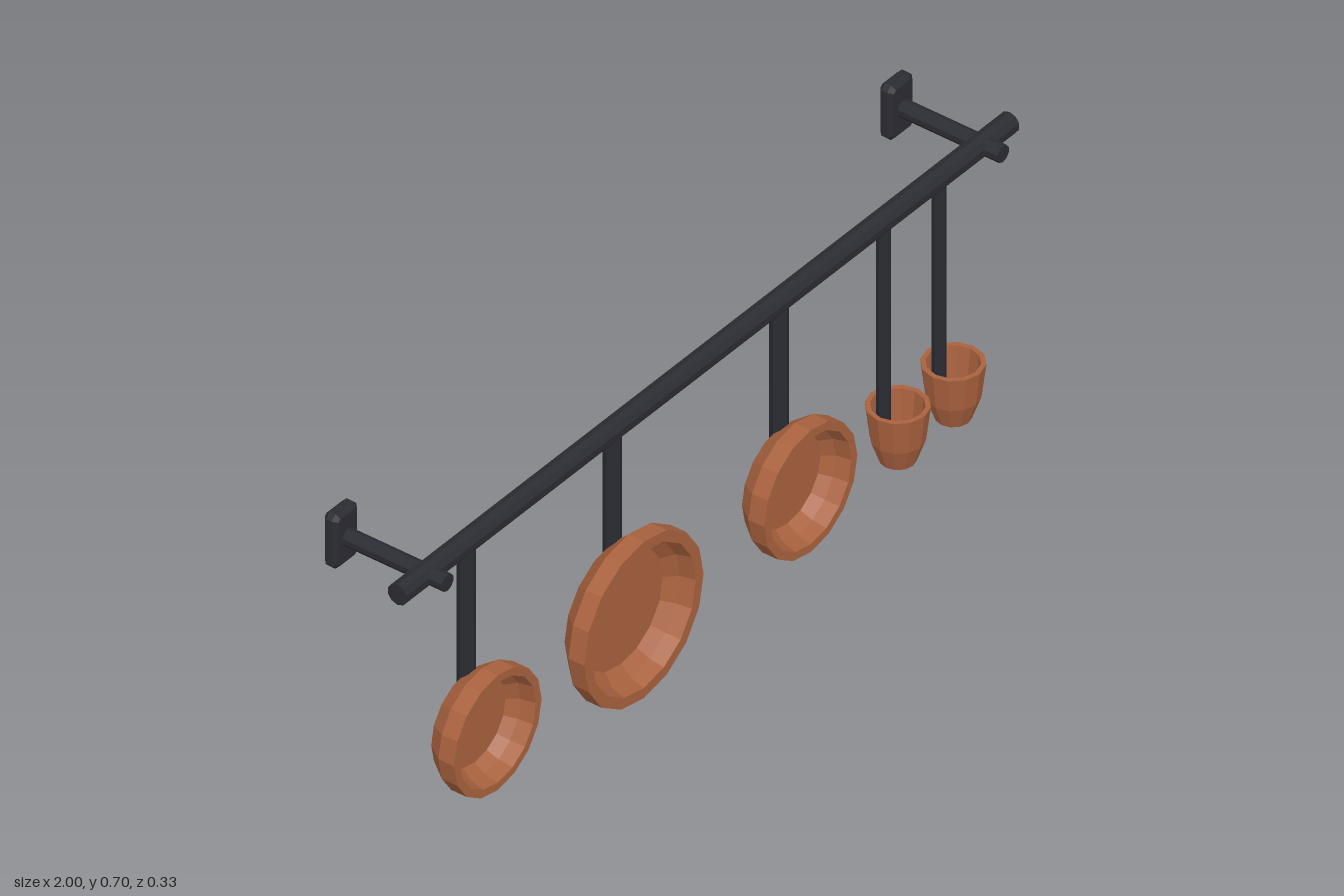
import * as THREE from 'three';

const RAIL_Y = 0.637, RAIL_Z = 0.065;

// Faceted normals for the low-poly look
function flat(geometry) {
  const g = geometry.index ? geometry.toNonIndexed() : geometry;
  g.computeVertexNormals();
  return g;
}

function lathe(points, sides) {
  return new THREE.LatheGeometry(points.map(([r, y]) => new THREE.Vector2(r, y)), sides);
}

export function createModel() {
  const model = new THREE.Group();
  const iron = new THREE.MeshStandardMaterial({ color: 0x2b2b33 });
  iron.name = 'black iron';
  const copper = new THREE.MeshStandardMaterial({ color: 0xa9623f });
  copper.name = 'copper';

  function add(parent, name, geometry, material, x = 0, y = 0, z = 0) {
    const mesh = new THREE.Mesh(flat(geometry), material);
    mesh.name = name;
    mesh.position.set(x, y, z);
    parent.add(mesh);
  }

  // Horizontal rail
  const rail = new THREE.CylinderGeometry(0.025, 0.025, 2, 10).rotateY(Math.PI / 2).rotateZ(Math.PI / 2);
  add(model, 'rail', rail, iron, 0, RAIL_Y, RAIL_Z);

  // Wall brackets: arm and chamfered plate
  const w = 0.03, h = 0.058, c = 0.006;
  const outline = new THREE.Shape([
    [-w + c, -h], [w - c, -h], [w, -h + c], [w, h - c],
    [w - c, h], [-w + c, h], [-w, h - c], [-w, -h + c],
  ].map(([x, y]) => new THREE.Vector2(x, y)));
  for (const side of [-1, 1]) {
    const bracket = new THREE.Group();
    bracket.name = side > 0 ? 'leftBracket' : 'rightBracket';
    bracket.position.set(side * 0.907, RAIL_Y, 0);
    const arm = new THREE.CylinderGeometry(0.02, 0.02, 0.26, 10).rotateX(Math.PI / 2);
    add(bracket, 'bracketArm', arm, iron, 0, 0, -0.01);
    const plate = new THREE.ExtrudeGeometry(outline, {
      depth: 0.015, bevelEnabled: true, bevelSize: 0.01, bevelThickness: 0.01, bevelSegments: 1,
    });
    add(bracket, 'wallPlate', plate, iron, 0, 0, -0.157);
    model.add(bracket);
  }

  // Hanging handle from the rail down to a given height
  function addHandle(parent, radius, bottom) {
    const top = 0.625;
    add(parent, 'handle', new THREE.CylinderGeometry(radius, radius, top - bottom, 8),
      iron, 0, (top + bottom) / 2, RAIL_Z);
  }

  // Frying pans: open side to the front, handle behind
  for (const [x, r] of [[-0.775, 0.143], [-0.298, 0.195], [0.247, 0.152]]) {
    const pan = new THREE.Group();
    pan.name = 'pan';
    pan.position.x = x;
    const body = lathe([
      [0, 0.065], [r * 0.8, 0.065], [r, 0.105], [r, 0.145],
      [r * 0.87, 0.145], [r * 0.82, 0.112], [r * 0.7, 0.087], [0, 0.087],
    ], 16).rotateX(Math.PI / 2);
    add(pan, 'panBody', body, copper, 0, 0.197, 0);
    addHandle(pan, 0.02, 0.25);
    model.add(pan);
  }

  // Measuring cups: open upwards, handle inside the back wall
  for (const x of [0.588, 0.769]) {
    const cup = new THREE.Group();
    cup.name = 'cup';
    cup.position.x = x;
    const body = lathe([
      [0, 0.056], [0.038, 0.056], [0.057, 0.11], [0.067, 0.192],
      [0.056, 0.192], [0.047, 0.115], [0.03, 0.07], [0, 0.07],
    ], 12);
    add(cup, 'cupBody', body, copper, 0, 0, 0.101);
    addHandle(cup, 0.015, 0.12);
    model.add(cup);
  }

  return model;
}
